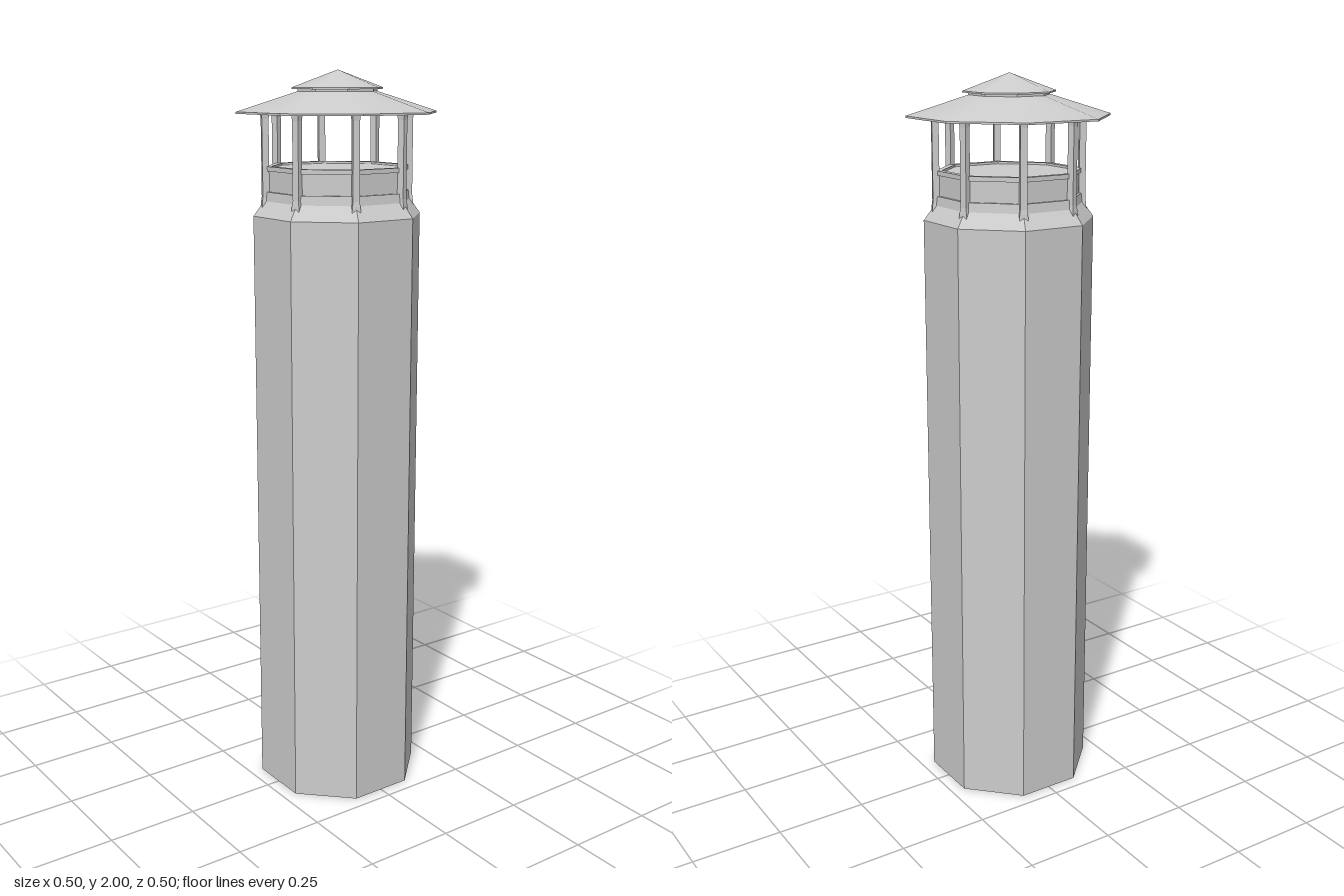
import * as THREE from 'three';

const SIDES = 8;
const CORNER = 1 / Math.cos(Math.PI / SIDES); // apothem -> corner radius

function material(flatShading) {
  return new THREE.MeshStandardMaterial({ color: 0xcccccc, flatShading, side: THREE.DoubleSide });
}

// Octagonal surface from a profile of [apothem, height] points, flat sides facing the axes
function octagon(name, profile, flat = true) {
  const points = profile.map(([a, y]) => new THREE.Vector2(a * CORNER, y));
  const geometry = new THREE.LatheGeometry(points, SIDES, Math.PI / SIDES);
  const mesh = new THREE.Mesh(geometry, material(flat));
  mesh.name = name;
  return mesh;
}

// Square post with a spread foot on the sloping shoulder and a small flare under the eaves
function createPost() {
  const profile = [[0.001, 1.635], [0.017, 1.645], [0.015, 1.662], [0.0125, 1.675], [0.0125, 1.875], [0.016, 1.897]];
  const points = profile.map(([r, y]) => new THREE.Vector2(r, y));
  return new THREE.LatheGeometry(points, 4, Math.PI / 4);
}

export function createModel() {
  const model = new THREE.Group();
  model.name = 'octagonalTower';

  // Hollow shaft, open at the bottom, with a sloping shoulder
  model.add(octagon('shaft', [[0.212, 0], [0.212, 1.625]]));
  model.add(octagon('shoulder', [[0.212, 1.625], [0.185, 1.664]]));

  // Low wall of the lantern: base moulding, wall and thin lip around the deck
  model.add(octagon('baseMoulding', [[0.185, 1.664], [0.182, 1.688], [0.175, 1.688]]));
  model.add(octagon('lanternWall', [[0.175, 1.688], [0.175, 1.742]]));
  model.add(octagon('lanternLip', [[0.175, 1.742], [0.181, 1.742], [0.181, 1.754], [0.165, 1.754], [0.165, 1.748]]));
  model.add(octagon('deck', [[0.165, 1.748], [0, 1.748]]));

  // One post at every corner
  const posts = new THREE.Group();
  posts.name = 'posts';
  const postGeometry = createPost();
  const postMaterial = material(true);
  for (let i = 0; i < SIDES; i++) {
    const angle = ((i + 0.5) / SIDES) * Math.PI * 2;
    const post = new THREE.Mesh(postGeometry, postMaterial);
    post.name = 'post';
    post.position.set(Math.sin(angle) * 0.181 * CORNER, 0, Math.cos(angle) * 0.181 * CORNER);
    post.rotation.y = angle;
    posts.add(post);
  }
  model.add(posts);

  // Two-tier roof: wide eaves and a small cap above the vent
  model.add(octagon('lowerRoof', [[0.251, 1.894], [0.1, 1.945]], false));
  model.add(octagon('eavesEdge', [[0.251, 1.889], [0.251, 1.894]]));
  model.add(octagon('lowerRoofUnderside', [[0.1, 1.94], [0.251, 1.889]], false));
  model.add(octagon('roofVent', [[0.1, 1.94], [0.1, 1.952]]));
  model.add(octagon('roofCap', [[0.114, 1.955], [0, 2]], false));
  model.add(octagon('roofCapUnderside', [[0, 1.951], [0.114, 1.951], [0.114, 1.955]]));

  return model;
}
